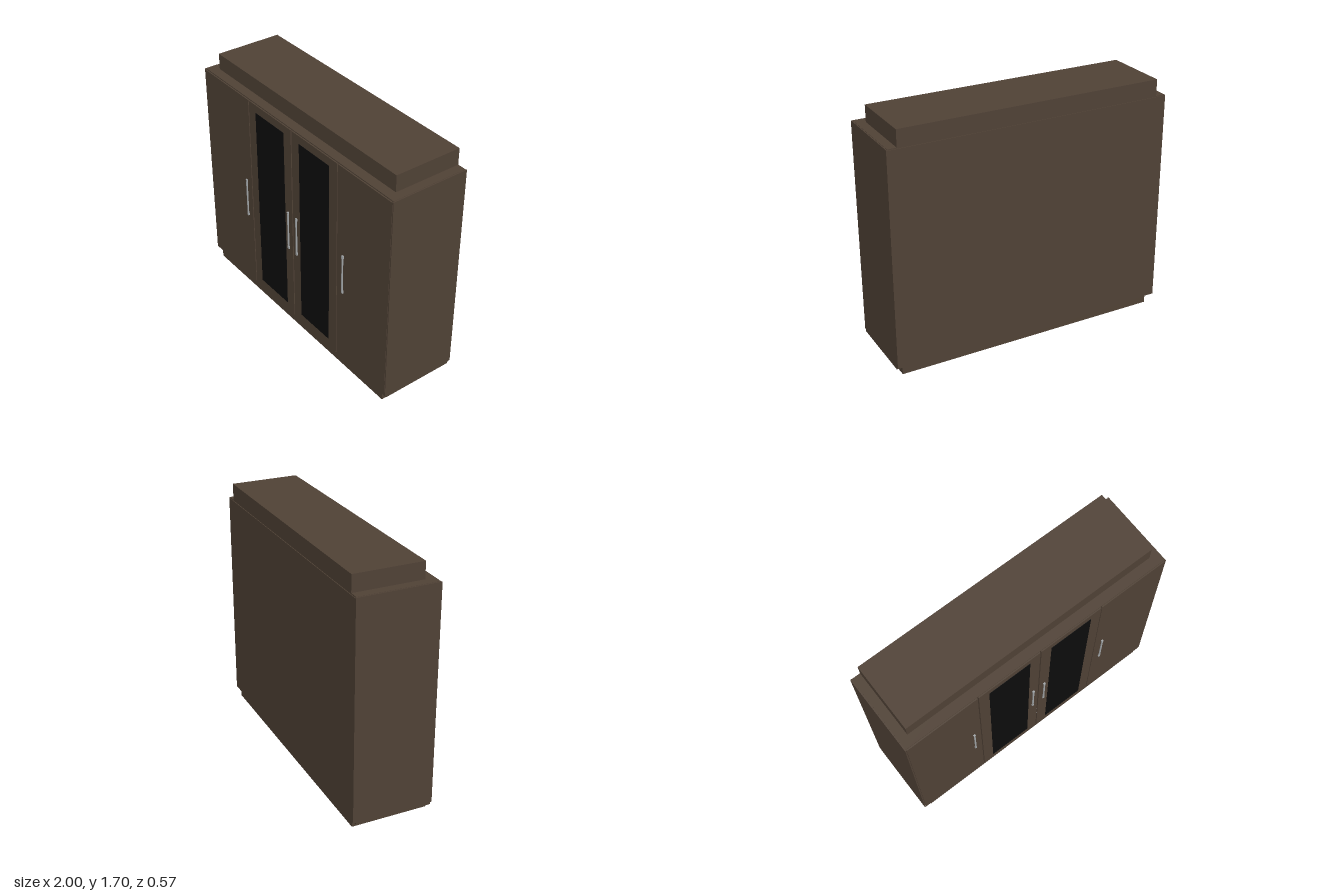
import * as THREE from 'three';

export function createModel() {
  const wood = new THREE.MeshStandardMaterial({ color: 0x4f4135 });
  wood.name = 'dark wood';
  const glass = new THREE.MeshStandardMaterial({ color: 0x0c0c0c });
  glass.name = 'black glass';
  const metal = new THREE.MeshStandardMaterial({ color: 0xa0a4a6 });
  metal.name = 'brushed metal';

  const model = new THREE.Group();
  model.name = 'wardrobe';

  // box given by its extents
  const box = (name, mat, x0, x1, y0, y1, z0, z1, parent = model) => {
    const mesh = new THREE.Mesh(new THREE.BoxGeometry(x1 - x0, y1 - y0, z1 - z0), mat);
    mesh.position.set((x0 + x1) / 2, (y0 + y1) / 2, (z0 + z1) / 2);
    mesh.name = name;
    parent.add(mesh);
    return mesh;
  };

  // carcass
  box('plinth', wood, -0.945, 0.96, 0, 0.05, -0.265, 0.265);
  box('bottomBoard', wood, -1, 1, 0.05, 0.065, -0.265, 0.265);
  box('carcass', wood, -0.992, 0.992, 0.065, 1.578, -0.285, 0.262);
  box('leftSidePanel', wood, 0.992, 1, 0.065, 1.583, -0.285, 0.275);
  box('rightSidePanel', wood, -1, -0.992, 0.065, 1.583, -0.285, 0.275);
  box('topRail', wood, -0.992, 0.992, 1.578, 1.585, -0.28, 0.268);
  box('cornice', wood, -0.93, 0.93, 1.58, 1.7, -0.28, 0.2);

  // doors with narrow gaps between them
  const doors = [[-0.99, -0.47], [-0.462, 0.005], [0.014, 0.482], [0.488, 0.99]];
  doors.forEach(([x0, x1], i) => box('door' + (i + 1), wood, x0, x1, 0.066, 1.577, 0.262, 0.276));

  // glass inlays on the middle doors
  for (const [x0, x1] of [[-0.385, -0.073], [0.093, 0.403]])
    box('glassPanel', glass, x0, x1, 0.13, 1.52, 0.274, 0.278);

  // bar handles on two short posts
  const barGeometry = new THREE.CylinderGeometry(0.006, 0.006, 0.27, 10);
  for (const x of [-0.525, -0.037, 0.055, 0.55]) {
    const handle = new THREE.Group();
    handle.name = 'handle';
    const bar = new THREE.Mesh(barGeometry, metal);
    bar.name = 'handleBar';
    bar.position.set(x, 0.78, 0.282);
    handle.add(bar);
    for (const y of [0.64, 0.92])
      box('handlePost', metal, x - 0.007, x + 0.007, y - 0.01, y + 0.01, 0.274, 0.286, handle);
    model.add(handle);
  }

  // lock strip in the centre gap
  box('lockStrip', metal, 0.006, 0.013, 0.33, 0.43, 0.262, 0.27);

  return model;
}
